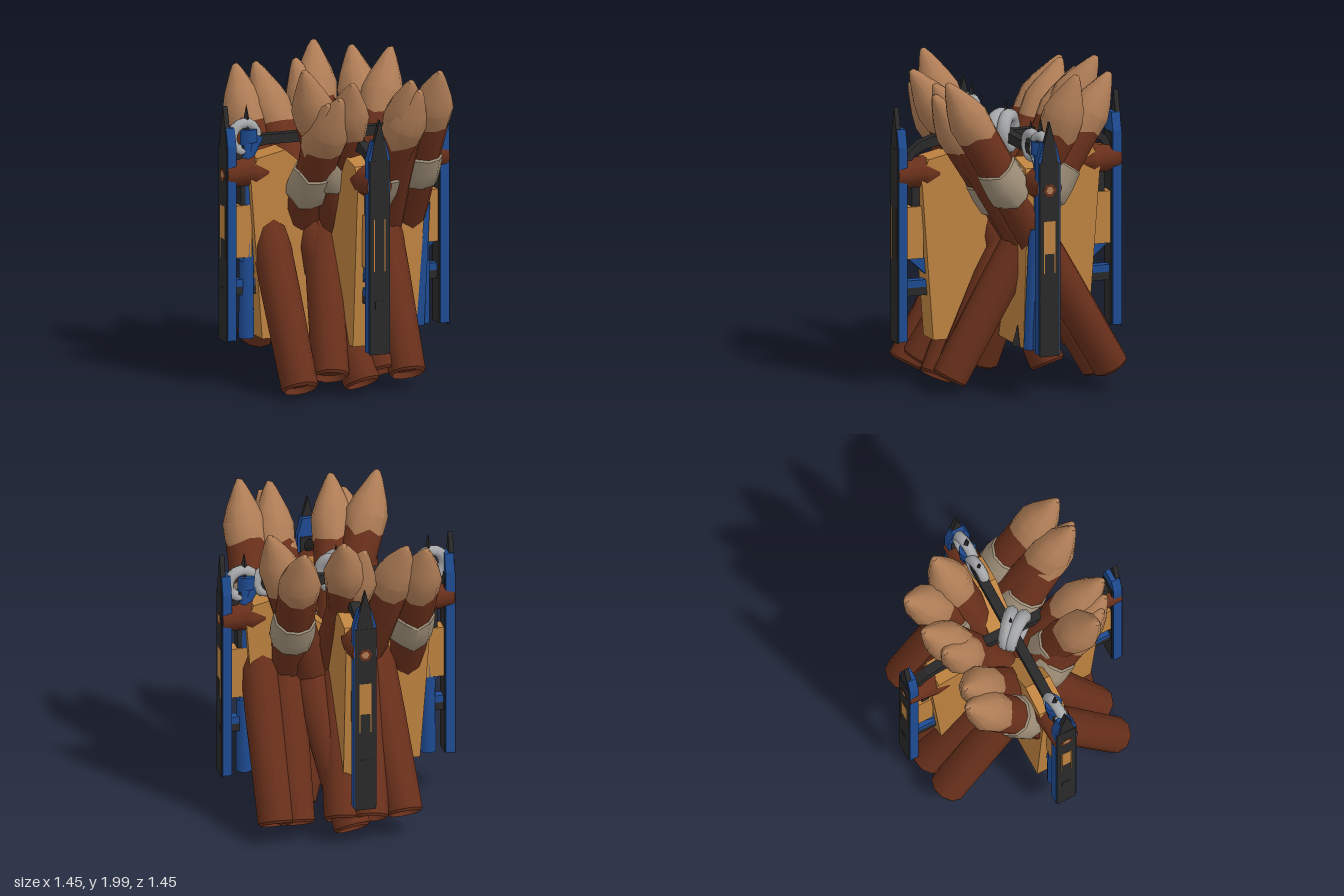
import * as THREE from 'three';
import { toCreasedNormals } from 'three/addons/utils/BufferGeometryUtils.js';

const mat = (name, color) => {
  const m = new THREE.MeshStandardMaterial({ color });
  m.name = name;
  return m;
};

export function createModel() {
  const model = new THREE.Group();
  model.name = 'stakeBarricade';
  const bark = mat('barkBrown', 0x69301b);
  const cutWood = mat('cutWood', 0xaf7d56);
  const plank = mat('plankTan', 0xbe8340);
  const blue = mat('paintedBlue', 0x1e4b92);
  const iron = mat('darkIron', 0x292929);
  const cloth = mat('clothBeige', 0xa09079);
  const rope = mat('ropeGrey', 0xa6a7a9);

  let seed = 7;
  const rnd = () => (seed = (seed * 16807) % 2147483647) / 2147483647 - 0.5;

  const add = (parent, name, geo, material, x = 0, y = 0, z = 0) => {
    const m = new THREE.Mesh(geo, material);
    m.name = name;
    m.position.set(x, y, z);
    parent.add(m);
    return m;
  };
  const box = (parent, name, w, h, d, material, x, y, z) =>
    add(parent, name, new THREE.BoxGeometry(w, h, d), material, x, y, z);

  // Extrude an outline given in the x/y plane, centred on z
  const slab = (pts, depth) => {
    const s = new THREE.Shape(pts.map(p => new THREE.Vector2(...p)));
    return new THREE.ExtrudeGeometry(s, { depth, bevelEnabled: false })
      .translate(0, 0, -depth / 2);
  };

  // Ten-sided lathe; the listed profile rows get a ragged height, the last row leans
  const SIDES = 10;
  const turned = (profile, rows = [], amount = 0, lean = 0) => {
    const g = new THREE.LatheGeometry(profile.map(p => new THREE.Vector2(...p)), SIDES);
    const n = profile.length, pos = g.attributes.position;
    const jag = Array.from({ length: SIDES }, () => rnd() * amount);
    for (let i = 0; i < pos.count; i++) {
      const row = i % n, side = Math.floor(i / n) % SIDES;
      if (rows.includes(row)) pos.setY(i, pos.getY(i) + jag[side]);
      if (row === n - 1) pos.setX(i, pos.getX(i) + lean);
    }
    return toCreasedNormals(g, 0.7);
  };

  // A sharpened log from base to tip, with an optional cloth binding
  const up = new THREE.Vector3(0, 1, 0);
  const stake = (tip, base, bound) => {
    const a = new THREE.Vector3(...base), b = new THREE.Vector3(...tip);
    const L = a.distanceTo(b), r = 0.118;
    const g = new THREE.Group();
    g.name = 'stake';
    add(g, 'stakeLog', turned([[0, 0.05], [r - 0.026, 0.04], [r - 0.02, 0], [r * 0.95, 0.015],
      [r, L * 0.3], [r * 0.98, L * 0.6], [r * 1.04, L - 0.34], [r * 0.9, L - 0.28]]), bark);
    add(g, 'stakeTip', turned([[r * 1.05, L - 0.39], [r * 1.09, L - 0.27], [r * 0.85, L - 0.18],
      [r * 0.36, L - 0.05], [0.018, L - 0.008], [0, L]], [0], 0.07, 0.008), cutWood);
    if (bound) {
      add(g, 'stakeBinding', turned([[r, L * 0.6 - 0.02], [r * 1.13, L * 0.6], [r * 1.16, L * 0.6 + 0.1],
        [r * 1.1, L * 0.6 + 0.2], [r, L * 0.6 + 0.21]], [0, 1, 3, 4], 0.04), cloth);
    }
    g.position.copy(a);
    g.quaternion.setFromUnitVectors(up, b.sub(a).normalize());
    model.add(g);
  };
  [ // tip, base, bound: leaning forward
    [[0.46, 1.96, 0.56], [0.49, 0.14, -0.49], true],
    [[0.32, 1.86, 0.59], [0.04, 0.1, -0.57], true],
    [[-0.18, 1.84, 0.55], [-0.28, 0.17, -0.58], true],
    [[-0.11, 1.93, 0.57], [0.1, 0.16, -0.56], false],
    [[-0.36, 2.0, 0.4], [0.28, 0.14, -0.16], true],
    [[0.27, 1.92, 0.57], [0.36, 0.12, -0.46], false],
    [[-0.24, 1.8, 0.5], [-0.06, 0.17, -0.6], false],
    // leaning backward
    [[-0.43, 1.87, -0.52], [-0.42, 0.06, 0.49], true],
    [[0.09, 1.97, -0.55], [-0.22, 0.12, 0.48], false],
    [[-0.32, 1.88, -0.48], [0.0, 0.055, 0.45], false],
    [[-0.06, 1.88, -0.48], [0.15, 0.11, 0.4], false],
    [[0.33, 1.92, -0.54], [0.28, 0.1, 0.48], true],
    [[0.48, 1.95, -0.27], [-0.08, 0.11, 0.14], false],
  ].forEach(s => stake(...s));

  // Four-sided faceted spike standing on y
  const spike = (parent, x, y, z, h, r = 0.038) => {
    const g = new THREE.ConeGeometry(r, h, 4).toNonIndexed();
    g.computeVertexNormals();
    add(parent, 'ironSpike', g, iron, x, y + h / 2, z);
  };

  // One of four arms, built along +x
  const makeArm = (angle, isSide, slotted) => {
    const arm = new THREE.Group();
    arm.name = 'barricadeArm';
    arm.rotation.y = angle;
    add(arm, 'plankPanel', slab([[0.06, 0.3], [0.5, 0.3], [0.575, 1.3], [0.53, 1.41],
      [0.35, 1.45], [0.06, 1.2]], 0.165), plank);
    box(arm, 'spacerBoard', 0.12, 0.32, 0.09, plank, 0.61, 0.96, 0);

    // Pinned crosswise log, pointed inward
    const log = add(arm, 'crossLog', turned([[0, 0], [0.082, 0.001], [0.092, 0.13], [0.1, 0.18],
      [0.086, 0.26], [0, 0.4]]), bark, 0.718, 1.32, 0);
    log.rotation.z = Math.PI / 2;

    // Outer post: blue channel with dark iron faces and a flat pointed blade
    const post = add(arm, 'outerPost', slab([[-0.07, 0.3], [0.07, 0.3], [0.07, 1.49],
      [0.04, 1.6], [-0.04, 1.6], [-0.07, 1.49]], 0.055), blue, 0.69, 0, 0);
    post.rotation.y = Math.PI / 2;
    const blade = add(arm, 'postBlade', slab([[-0.055, 1.47], [0.055, 1.47], [0.034, 1.6],
      [0, 1.73], [-0.034, 1.6]], 0.03), iron, 0.707, 0, 0);
    blade.rotation.y = Math.PI / 2;
    box(arm, 'postFace', 0.008, 1.19, 0.128, iron, 0.7195, 0.885, 0);
    box(arm, 'postInnerFace', 0.008, 1.18, 0.11, iron, 0.6605, 0.89, 0);

    // Thin frame around the slot, with the board and log end behind it
    for (const s of [-1, 1]) box(arm, 'slotFrameSide', 0.008, 0.32, 0.006, plank, 0.721, 0.96, s * 0.034);
    if (slotted) {
      box(arm, 'slotBoard', 0.008, 0.2, 0.06, plank, 0.721, 1.02, 0);
      [[0.042, 0.008, bark], [0.024, 0.009, cutWood]].forEach(([r, h, m]) => {
        const end = add(arm, 'logEnd', new THREE.CylinderGeometry(r, r, h, 6), m, 0.721, 1.31, 0);
        end.rotation.z = Math.PI / 2;
      });
    }

    // Lower braces and a diagonal bracket
    box(arm, 'ironBrace', 0.25, 0.05, 0.06, iron, 0.6, 0.595, 0);
    box(arm, 'blueBrace', 0.22, 0.045, 0.06, blue, 0.58, 0.642, 0);
    add(arm, 'bracket', slab([[0.53, 0.8], [0.53, 0.7], [0.64, 0.8]], 0.06), blue);
    box(arm, 'ironStrap', 0.05, 0.13, 0.07, iron, 0.595, 1.185, 0);

    // Arched iron rail across the top
    add(arm, 'topRail', slab([[0, 1.48], [0.45, 1.48], [0.53, 1.465], [0.6, 1.43], [0.645, 1.36],
      [0.68, 1.38], [0.64, 1.45], [0.57, 1.51], [0.48, 1.54], [0, 1.54]], 0.06), iron);

    if (isSide) {
      // Blue pole at the panel edge with a rope loop
      add(arm, 'bluePole', new THREE.CylinderGeometry(0.04, 0.05, 1.26, 8), blue, 0.57, 0.93, 0);
      const sash = add(arm, 'poleBrace', new THREE.CylinderGeometry(0.04, 0.04, 0.17, 8), blue, 0.535, 1.46, 0);
      sash.rotation.z = 0.5;
      add(arm, 'poleCollar', new THREE.CylinderGeometry(0.055, 0.055, 0.08, 8), blue, 0.555, 1.54, 0);
      spike(arm, 0.57, 1.55, 0, 0.18);
      const loop = add(arm, 'ropeLoop', new THREE.TorusGeometry(0.085, 0.034, 8, 16), rope, 0.585, 1.53, 0);
      loop.rotation.y = 0.12;
    }
    model.add(arm);
  };
  makeArm(0, true, true);
  makeArm(Math.PI, true, true);
  makeArm(Math.PI / 2, false, true);
  makeArm(-Math.PI / 2, false, false);

  // Leaning pole, extra loop and spikes on the left arm
  const lean = add(model, 'leaningPole', new THREE.CylinderGeometry(0.035, 0.05, 0.75, 8), blue, 0.545, 0.675, 0.04);
  lean.rotation.z = -0.07;
  const extra = add(model, 'ropeLoop', new THREE.TorusGeometry(0.07, 0.034, 8, 16), rope, 0.43, 1.53, 0);
  extra.rotation.y = 0.15;
  spike(model, 0.41, 1.53, 0, 0.15);
  spike(model, 0.41, 0.3, 0.085, 0.13);

  // Rope knot and spike where the rails cross
  [[-0.95, -0.02], [-0.7, 0.02]].forEach(([yaw, shift]) => {
    const knot = add(model, 'ropeKnot', new THREE.TorusGeometry(0.095, 0.044, 8, 16), rope,
      -0.01 + shift, 1.53, 0.01 - shift);
    knot.rotation.y = yaw;
  });
  spike(model, 0, 1.5, 0, 0.23);

  return model;
}
